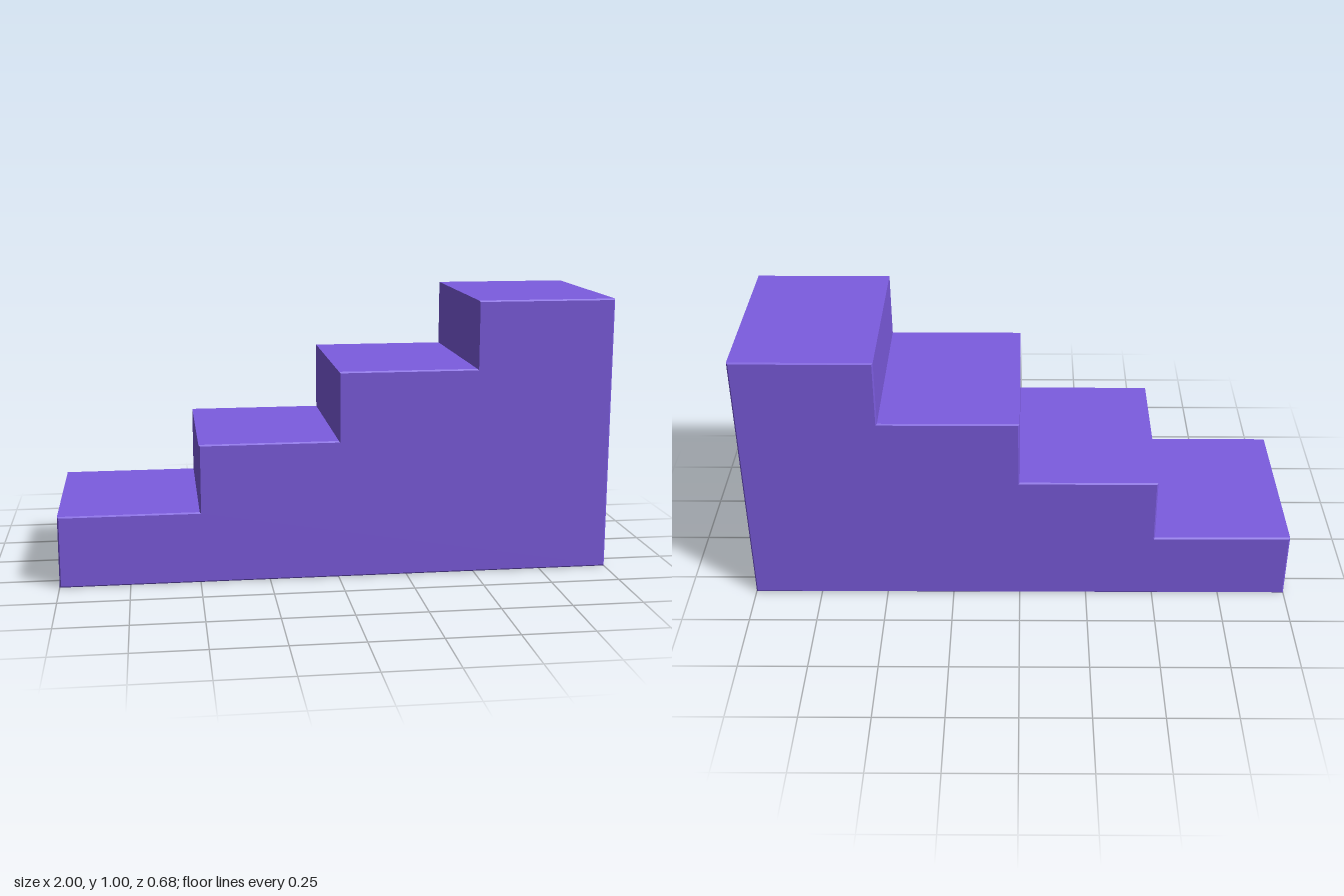
import * as THREE from 'three';

const STEPS = 4, RUN = 0.5, DEPTH = 0.676, BEVEL = 0.005;
const TREADS = [0.26, 0.505, 0.755, 1];

export function createModel() {
  const group = new THREE.Group();
  group.name = 'staircase';

  // Stepped side profile, rising towards +x
  const profile = new THREE.Shape();
  profile.moveTo(-1, 0);
  profile.lineTo(1, 0);
  for (let i = STEPS - 1; i >= 0; i--) {
    profile.lineTo(-1 + RUN * (i + 1), TREADS[i]);
    profile.lineTo(-1 + RUN * i, TREADS[i]);
  }
  profile.closePath();

  // Solid block of steps with a fine bevel around both side faces
  const geometry = new THREE.ExtrudeGeometry(profile, {
    depth: DEPTH - 2 * BEVEL,
    bevelEnabled: true,
    bevelThickness: BEVEL,
    bevelSize: BEVEL,
    bevelOffset: -BEVEL,
    bevelSegments: 1,
  });
  geometry.translate(0, 0, -DEPTH / 2 + BEVEL);

  const steps = new THREE.Mesh(geometry, new THREE.MeshStandardMaterial({ color: 0x7c5cdf }));
  steps.name = 'steps';
  group.add(steps);
  return group;
}
